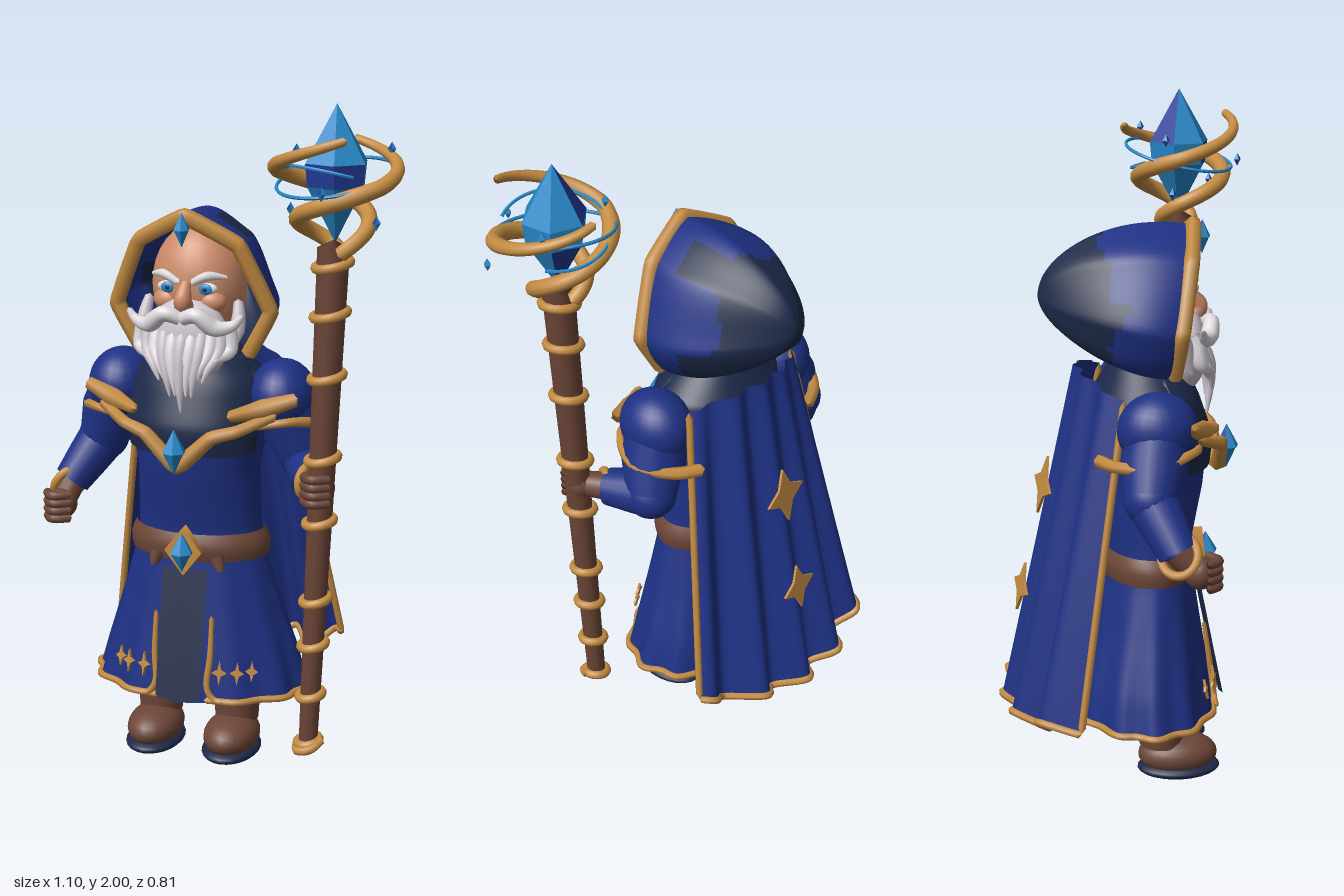
import * as THREE from 'three';

const mat = (name, color, extra = {}) => Object.assign(new THREE.MeshStandardMaterial({ color, ...extra }), { name });
const V = (x, y, z) => new THREE.Vector3(x, y, z);
const lerp = THREE.MathUtils.lerp;

export function createModel() {
  const model = new THREE.Group();
  const body = new THREE.Group();
  body.name = 'wizard';
  body.position.x = -0.08;
  model.add(body);

  const D = { side: THREE.DoubleSide };
  const blue = mat('robeBlue', 0x1e3184, D), navy = mat('navyCloth', 0x1c2948, D);
  const gold = mat('gold', 0xc48c42, D), brown = mat('brownLeather', 0x6c4638);
  const skin = mat('skin', 0xcc8a68), white = mat('whiteHair', 0xdedade), lilac = mat('beardLilac', 0xcdc2cc);
  const crystal = mat('crystalBlue', 0x2688c8, { flatShading: true });
  const deep = mat('crystalDeep', 0x213a98, { flatShading: true });
  const wood = mat('staffWood', 0x6a4436);

  // ---- helpers ----
  const add = (parent, name, geo, material, p = [0, 0, 0], s = [1, 1, 1], r = [0, 0, 0]) => {
    const m = new THREE.Mesh(geo, material);
    m.name = name;
    m.position.set(...p); m.scale.set(...s); m.rotation.set(...r);
    parent.add(m);
    return m;
  };
  const ball = (parent, name, material, p, s, r) => add(parent, name, new THREE.SphereGeometry(1, 24, 16), material, p, s, r);
  // surface from a point rule; pick chooses a material group per cell
  const grid = (nu, nv, fn, pick = () => 0) => {
    const pos = [], cells = [[], []], g = new THREE.BufferGeometry();
    for (let j = 0; j <= nv; j++) for (let i = 0; i <= nu; i++) pos.push(...fn(i / nu, j / nv).toArray());
    for (let j = 0; j < nv; j++) for (let i = 0; i < nu; i++) {
      const a = j * (nu + 1) + i, b = a + nu + 1;
      cells[pick((i + 0.5) / nu, (j + 0.5) / nv)].push(a, a + 1, b, b, a + 1, b + 1);
    }
    g.setAttribute('position', new THREE.Float32BufferAttribute(pos, 3));
    g.setIndex([...cells[0], ...cells[1]]);
    g.addGroup(0, cells[0].length, 0);
    g.addGroup(cells[0].length, cells[1].length, 1);
    g.computeVertexNormals();
    return g;
  };
  // closed tube whose radius runs r0 -> r1 -> r2
  const tube = (parent, name, material, pts, [r0, r1 = r0, r2 = r1], n = 40, sides = 10, tension = 0.5) => {
    const c = new THREE.CatmullRomCurve3(pts, false, 'catmullrom', tension);
    const g = new THREE.TubeGeometry(c, n, 1, sides), p = g.attributes.position, v = V(0, 0, 0);
    for (let k = 0; k < p.count; k++) {
      const i = Math.floor(k / (sides + 1)), t = i / n, o = c.getPointAt(t);
      const r = i === 0 || i === n ? 0 : t < 0.5 ? lerp(r0, r1, t * 2) : lerp(r1, r2, t * 2 - 1);
      v.fromBufferAttribute(p, k).sub(o).multiplyScalar(r).add(o);
      p.setXYZ(k, v.x, v.y, v.z);
    }
    return add(parent, name, g, material);
  };
  // faceted gem with a few darker facets
  const gem = (parent, name, p, r, up, down, belt = 0, sides = 6) => {
    const pts = [[0, -down], [r * 0.93, -belt], [r, belt], [0, up]].map(q => new THREE.Vector2(...q));
    const g = new THREE.LatheGeometry(pts, sides, 0.2).toNonIndexed();
    for (let k = 0; k < sides * 3; k++) g.addGroup(k * 6, 6, k % 5 === 1 ? 1 : 0);
    return add(parent, name, g, [crystal, deep], p);
  };
  const star = (r, inner) => {
    const s = new THREE.Shape();
    for (let k = 0; k < 8; k++) {
      const a = k * Math.PI / 4, q = k % 2 ? inner : r;
      s[k ? 'lineTo' : 'moveTo'](Math.sin(a) * q, Math.cos(a) * q);
    }
    return new THREE.ExtrudeGeometry(s, { depth: 0.008, bevelEnabled: false });
  };

  // ---- robe: rows of y, half width, half depth, z centre ----
  const rows = [[0.21, 0.33, 0.215, 0.02], [0.32, 0.3, 0.2, 0.02], [0.48, 0.25, 0.165, 0.03], [0.65, 0.2, 0.13, 0.04],
    [0.72, 0.19, 0.125, 0.04], [0.9, 0.185, 0.15, 0.05], [1.05, 0.21, 0.165, 0.05], [1.18, 0.19, 0.14, 0.03], [1.27, 0.1, 0.09, 0.03]];
  const bodyPoint = (y, a, off = 0) => {
    let k = 0;
    while (k < rows.length - 2 && y > rows[k + 1][0]) k++;
    const t = (y - rows[k][0]) / (rows[k + 1][0] - rows[k][0]);
    const [rx, rz, cz] = [1, 2, 3].map(c => lerp(rows[k][c], rows[k + 1][c], t));
    const f = 1 + 0.03 * Math.max(0, (0.65 - y) / 0.44) * Math.cos(a * 12);
    return V((rx * f + off) * Math.sin(a), y, cz + (rz * f + off) * Math.cos(a));
  };
  add(body, 'robe', grid(96, 40, (u, v) => bodyPoint(lerp(0.21, 1.27, v), u * Math.PI * 2)), blue);
  add(body, 'robeUnderside', grid(96, 1, (u, v) => bodyPoint(0.212, u * Math.PI * 2).lerp(V(0, 0.225, 0.02), v)), blue);
  // mantle: deep on the chest, a narrow collar at the back
  add(body, 'chestMantle', grid(80, 12, (u, v) => {
    const a = lerp(-Math.PI, Math.PI, u);
    return bodyPoint(lerp(Math.abs(a) < 1.25 ? 0.97 : 1.15, 1.27, v), a, 0.014);
  }), navy);
  const loop = (y, off, a0, a1) => Array.from({ length: 61 }, (_, i) => bodyPoint(y, lerp(a0, a1, i / 60), off));
  tube(body, 'hemTrim', gold, loop(0.22, 0.004, 0.22, Math.PI * 2 - 0.22), [0.011], 160, 6);
  add(body, 'belt', grid(60, 4, (u, v) => bodyPoint(lerp(0.638, 0.72, v), u * Math.PI * 2, 0.008 + 0.012 * Math.sin(v * Math.PI))), brown);
  add(body, 'frontPanel', grid(2, 8, (u, v) => V(lerp(-0.07, 0.07, u), lerp(u === 0.5 ? 0.215 : 0.235, 0.615, v),
    lerp(0.262, 0.185, v))), navy);
  for (const s of [-1, 1]) {
    tube(body, 'panelTrim', gold, [[0.48, 0.34], [0.36, 0.3], [0.27, 0.255], [0.23, 0.31], [0.222, 0.4]].map(([y, a]) => bodyPoint(y, s * a, 0.014)), [0.007, 0.01], 36, 6);
    tube(body, 'beltTab', brown, [bodyPoint(0.66, s * 0.45, 0.01), bodyPoint(0.61, s * 0.5, 0.012)], [0.022, 0.02, 0.008], 10, 8);
    for (let k = 0; k < 3; k++)
      add(body, 'hemDiamond', star(0.038 - k * 0.003, 0.013), gold, bodyPoint(0.312, s * (0.38 + k * 0.17), 0.016).toArray(), [0.6, 1, 1], [-0.2, s * 0.35, 0]);
  }
  // buckle and chest clasp
  add(body, 'buckle', new THREE.CylinderGeometry(1, 1, 0.03, 4), gold, [0, 0.675, 0.19], [0.058, 1, 0.075], [Math.PI / 2, 0, 0]);
  gem(body, 'buckleGem', [0, 0.675, 0.215], 0.037, 0.06, 0.06);
  gem(body, 'chestGem', [0, 1.0, 0.275], 0.037, 0.068, 0.068);
  tube(body, 'chestTrim', gold, [V(-0.27, 1.1, 0.15), V(-0.17, 1.06, 0.22), V(-0.1, 1.04, 0.24), V(0, 0.95, 0.25),
    V(0.1, 1.04, 0.24), V(0.17, 1.06, 0.22), V(0.27, 1.1, 0.15)], [0.015, 0.026, 0.015], 60, 6, 0.15);

  // ---- boots ----
  for (const s of [-1, 1]) {
    const x = s * 0.123;
    add(body, 'leg', new THREE.CylinderGeometry(0.075, 0.066, 0.14, 24), brown, [x, 0.18, 0.065]);
    ball(body, 'boot', brown, [x, 0.075, 0.115], [0.083, 0.062, 0.12]);
    ball(body, 'sole', navy, [x, 0.032, 0.118], [0.087, 0.028, 0.125]);
  }

  // ---- arms ----
  const arms = [
    { s: -1, elbow: V(-0.325, 0.95, 0), wrist: V(-0.412, 0.81, 0.068), hand: V(-0.415, 0.76, 0.125), ring: 0.056 },
    { s: 1, elbow: V(0.315, 0.93, -0.01), wrist: V(0.365, 0.905, 0.13), hand: V(0.412, 0.91, 0.195), ring: 0.048 }];
  for (const { s, elbow, wrist, hand, ring } of arms) {
    const sh = V(s * 0.25, 1.13, 0.03);
    ball(body, 'shoulder', blue, sh.toArray(), [0.1, 0.108, 0.116]);
    tube(body, 'upperSleeve', blue, [sh, sh.clone().lerp(elbow, 0.5), elbow], [0.09, 0.096, 0.075], 24, 20);
    ball(body, 'elbow', blue, elbow.toArray(), [0.077, 0.077, 0.077]);
    tube(body, 'lowerSleeve', blue, [elbow, wrist], [0.075, 0.066, 0.055], 20, 20);
    const cuff = add(body, 'cuff', new THREE.TorusGeometry(ring, 0.013, 8, 28), gold, wrist.toArray());
    cuff.lookAt(cuff.position.clone().add(hand.clone().sub(wrist)));
    tube(body, 'glove', brown, [wrist.clone().lerp(elbow, 0.1), hand], [0.042, 0.04, 0.036], 12, 14);
    ball(body, 'fist', brown, hand.toArray(), [0.045, 0.048, 0.045]);
    for (let k = 0; k < 4; k++) {
      const y = hand.y + 0.036 - k * 0.024;
      tube(body, 'finger', brown, [V(hand.x - 0.045, y, hand.z + 0.015), V(hand.x - 0.01, y, hand.z + 0.052), V(hand.x + 0.04, y, hand.z + 0.025)], [0.014], 14, 8);
    }
    // shoulder trim, front and back
    tube(body, 'shoulderTrim', gold, [V(s * 0.14, 1.1, 0.215), V(s * 0.22, 1.115, 0.165), V(s * 0.325, 1.145, 0.12)], [0.016, 0.03, 0.02], 24, 6);
    tube(body, 'shoulderBand', gold, [V(s * 0.2, 1.06, 0.16), V(s * 0.31, 1.075, 0.12), V(s * 0.36, 1.05, 0.01), V(s * 0.3, 1.04, -0.09), V(s * 0.22, 1.04, -0.14)], [0.01, 0.018, 0.02], 36, 6);
  }

  // ---- cape ----
  const cape = (u, v, off = 0) => {
    const wave = Math.cos(u * Math.PI * 4.6 - 0.9) * (0.01 + 0.027 * v);
    return V(u * lerp(0.22, 0.365, v), lerp(1.26, 0.22, v) - 0.05 * u * u * (1 - v) + 0.06 * u * u * v + wave * 0.5 * v,
      lerp(-0.17, -0.365, v) + u * u * lerp(0.1, 0.125, v) - wave - off);
  };
  add(body, 'cape', grid(72, 24, (u, v) => cape(u * 2 - 1, v)), blue);
  const capeLine = fn => Array.from({ length: 49 }, (_, i) => fn(i / 48));
  tube(body, 'capeHemTrim', gold, capeLine(t => cape(t * 2 - 1, 1)), [0.012], 140, 6);
  for (const s of [-1, 1]) tube(body, 'capeSideTrim', gold, capeLine(t => cape(s, t)), [0.011], 50, 6);
  [[0.35, 0.088], [0.66, 0.075]].forEach(([v, r]) =>
    add(body, 'capeStar', star(r, r * 0.46), gold, cape(0.05, v, 0.018).toArray(), [1, 1, 1], [0.19, 0.15, 0]));

  // ---- hood: opening outline swept back to a narrow tip ----
  const half = [[0, 1.665, 0.17], [0.15, 1.585, 0.14], [0.235, 1.39, 0.1], [0.16, 1.25, 0.09]];
  const rim = [...half.slice(1).reverse().map(([x, y, z]) => V(-x, y, z)), ...half.map(p => V(...p))];
  const outline = new THREE.CatmullRomCurve3([...rim], true, 'catmullrom', 0.25);
  // darker cloth covers the back, the lower sides and a streak over the crown
  const darkHood = (u, q) => {
    const edge = u < 0.2 ? 0.3 : u > 0.74 ? 0.22 : 0.38;
    return q > edge + 0.04 * Math.sin(u * 21) || u > 0.86 || (u > 0.48 && u < 0.58 && q > 0.15) ? 1 : 0;
  };
  add(body, 'hood', grid(64, 28, (u, q) => {
    const s = Math.sin(q * Math.PI / 2), o = outline.getPoint(u), low = o.y < 1.44 ? 1 - 0.2 * s : 1;
    const f = Math.sqrt(Math.max(0, 1 - s * s)) * (1 + 0.2 * s * (1 - s)) * (1 + 0.06 * Math.sin(u * 44) * s * (1 - s));
    const fx = f * (1 - 0.36 * s * s) * (o.x < 0 ? 1 + 0.3 * s * (1 - s) : 1);
    return V(o.x * fx, 1.44 + 0.03 * s + (o.y - 1.44) * f * low, lerp(o.z, -0.28, s));
  }, darkHood), [blue, navy]);
  tube(body, 'hoodTrim', gold, rim, [0.024], 90, 6, 0.08);
  gem(body, 'hoodGem', [0, 1.63, 0.195], 0.025, 0.05, 0.05);

  // ---- head ----
  ball(body, 'head', skin, [0, 1.45, 0.04], [0.14, 0.18, 0.125]);
  tube(body, 'nose', skin, [V(0, 1.475, 0.155), V(0, 1.43, 0.188), V(0, 1.4, 0.175)], [0.014, 0.024, 0.03], 14, 12);
  for (const s of [-1, 1]) {
    ball(body, 'cheek', skin, [s * 0.065, 1.415, 0.125], [0.045, 0.035, 0.035]);
    ball(body, 'eyeWhite', white, [s * 0.059, 1.457, 0.148], [0.032, 0.017, 0.012]);
    ball(body, 'iris', crystal, [s * 0.057, 1.456, 0.156], [0.021, 0.016, 0.007]);
    ball(body, 'pupil', navy, [s * 0.057, 1.456, 0.162], [0.007, 0.007, 0.003]);
    tube(body, 'eyebrow', white, [V(s * 0.018, 1.473, 0.17), V(s * 0.065, 1.495, 0.162), V(s * 0.115, 1.488, 0.125)], [0.01, 0.014, 0.005], 20, 8);
    tube(body, 'moustache', white, [V(0, 1.375, 0.2), V(s * 0.05, 1.39, 0.215), V(s * 0.1, 1.355, 0.2), V(s * 0.145, 1.36, 0.18), V(s * 0.175, 1.39, 0.17)], [0.02, 0.027, 0.008], 32, 10);
    tube(body, 'sideburn', lilac, [V(s * 0.135, 1.42, 0.09), V(s * 0.142, 1.35, 0.12), V(s * 0.115, 1.25, 0.15)], [0.014, 0.026, 0.006], 20, 8);
  }
  // beard locks over a solid core
  ball(body, 'beardCore', lilac, [0, 1.305, 0.145], [0.125, 0.125, 0.065]);
  for (let k = -5; k <= 5; k++) {
    const x = k * 0.026, e = 1.1 + Math.abs(k) * 0.023 + (k & 1 ? 0.025 : 0);
    tube(body, 'beardLock', k & 1 ? white : lilac, [V(x, 1.37, 0.16), V(x * 1.05, 1.29, 0.205 - x * x * 2), V(x * 0.8, lerp(e, 1.29, 0.45), 0.22 - x * x), V(x * 0.62, e, 0.215)], [0.02, 0.023, 0.003], 24, 8);
  }

  // ---- staff ----
  const staff = new THREE.Group();
  staff.name = 'staff';
  model.add(staff);
  const axis = y => V(lerp(0.305, 0.368, (y - 0.09) / 1.54), y, lerp(0.19, 0.205, (y - 0.09) / 1.54));
  tube(staff, 'shaft', wood, [axis(0.09), axis(0.86), axis(1.63)], [0.028, 0.038, 0.047], 60, 12);
  for (const y of [0.12, 0.27, 0.43, 0.57, 0.81, 1.0, 1.24, 1.42, 1.56])
    add(staff, 'staffRing', new THREE.TorusGeometry(0.032 + y * 0.011, 0.014, 8, 28), gold, axis(y).toArray(), [1, 1, 1], [Math.PI / 2 + 0.1, 0.18, 0]);
  tube(staff, 'staffTailCurl', gold, [V(0.27, 0.105, 0.19), V(0.285, 0.1, 0.23), V(0.325, 0.11, 0.23), V(0.35, 0.13, 0.19)], [0.013], 20, 8);
  // two claws spiralling around the crystal
  const cx = 0.37, cz = 0.2;
  [[180, 1.89], [385, 1.92]].forEach(([end, top]) => {
    const pts = Array.from({ length: 25 }, (_, i) => {
      const t = i / 24, a = (end - 360 * (1 - t)) * Math.PI / 180, r = lerp(0.05, 0.167, Math.min(1, t * 1.5));
      return V(cx + r * Math.sin(a), lerp(1.59, top, t), cz + r * Math.cos(a));
    });
    tube(staff, 'claw', gold, pts, [0.022, 0.025, 0.012], 90, 10);
  });
  gem(staff, 'crystal', [cx, 1.81, cz], 0.094, 0.19, 0.19, 0.032);
  [[0.165, 0.2, 0.12], [0.15, -0.25, -0.15]].forEach(([r, a, b]) =>
    add(staff, 'energyRing', new THREE.TorusGeometry(r, 0.005, 6, 56, 4.6), crystal, [cx, 1.8, cz], [1, 1, 1], [Math.PI / 2 + a, b, 1]));
  [[0.515, 1.7, 0.32], [0.23, 1.7, 0.16], [0.38, 1.78, 0.385], [0.24, 1.86, 0.14], [0.5, 1.87, 0.1]].forEach(p =>
    gem(staff, 'shard', p, 0.012, 0.02, 0.02, 0, 4));

  return model;
}
